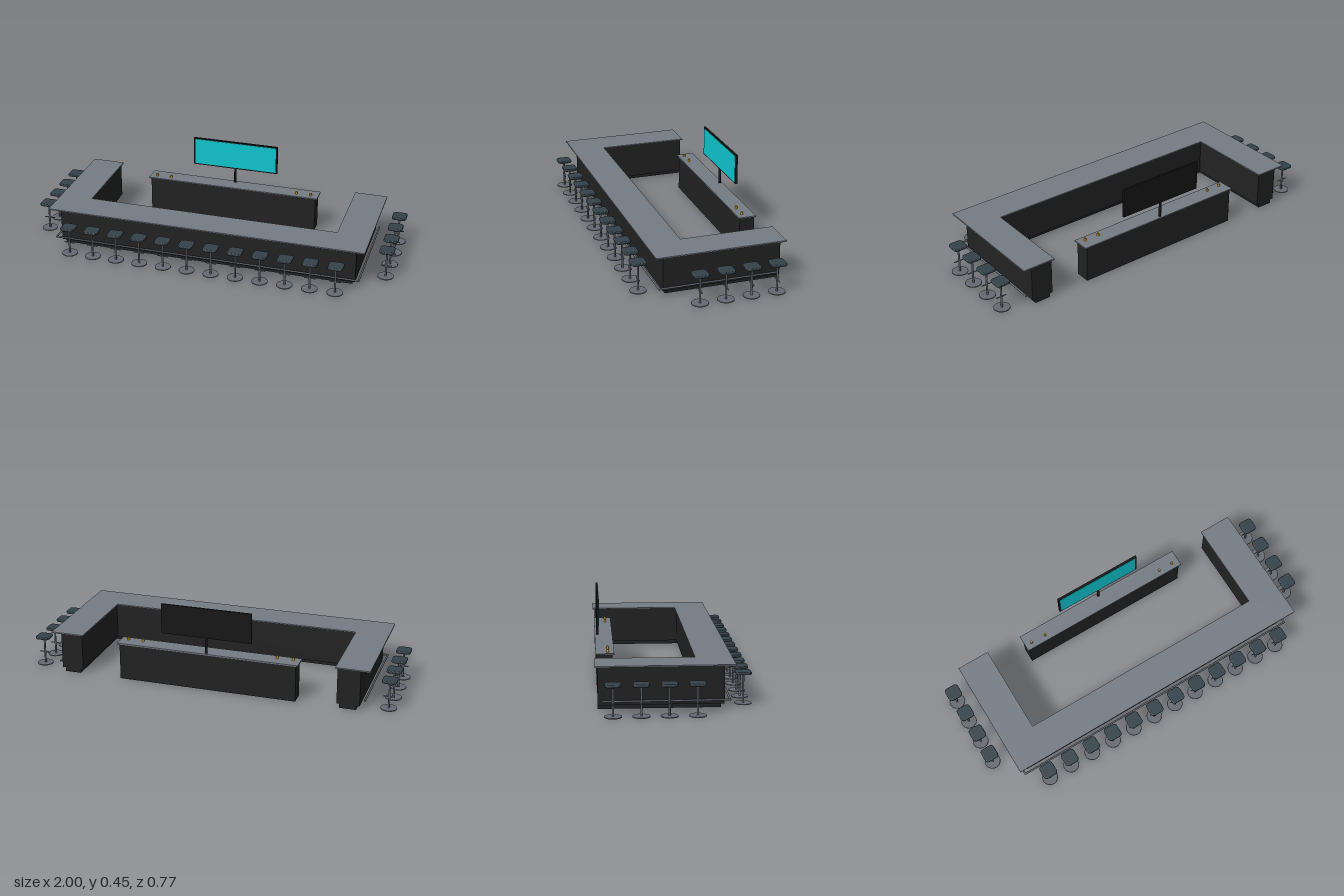
import * as THREE from 'three';

const mat = (name, color, side = THREE.FrontSide) => {
  const m = new THREE.MeshStandardMaterial({ color, side });
  m.name = name;
  return m;
};

export function createModel() {
  const stone = mat('grey stone', 0x757c84);
  const dark = mat('dark panel', 0x222222);
  const black = mat('black plastic', 0x161616);
  const metal = mat('steel', 0x656a72);
  const leather = mat('slate leather', 0x34424a);
  const gold = mat('gold', 0xc9960c);
  const cyan = mat('screen cyan', 0x0fc6d0);

  const model = new THREE.Group();
  model.name = 'barArea';

  const add = (parent, name, geo, material, x = 0, y = 0, z = 0) => {
    const mesh = new THREE.Mesh(geo, material);
    mesh.name = name;
    mesh.position.set(x, y, z);
    parent.add(mesh);
    return mesh;
  };
  // Box given by its limits on each axis
  const box = (parent, name, material, x0, x1, y0, y1, z0, z1) =>
    add(parent, name, new THREE.BoxGeometry(x1 - x0, y1 - y0, z1 - z0), material,
      (x0 + x1) / 2, (y0 + y1) / 2, (z0 + z1) / 2);

  // U-shaped slab, open towards the back
  const slabU = (name, material, xOut, xIn, zFront, zIn, zBack, y0, y1) => {
    const pts = [[-xOut, zFront], [xOut, zFront], [xOut, zBack], [xIn, zBack],
      [xIn, zIn], [-xIn, zIn], [-xIn, zBack], [-xOut, zBack]];
    const shape = new THREE.Shape(pts.map(([x, z]) => new THREE.Vector2(x, -z)));
    const geo = new THREE.ExtrudeGeometry(shape, { depth: y1 - y0, bevelEnabled: false });
    geo.rotateX(-Math.PI / 2);
    add(model, name, geo, material, 0, y0, 0);
  };

  // Main counter
  slabU('counterPlinth', dark, 0.803, 0.715, 0.226, 0.135, -0.373, 0, 0.022);
  slabU('counterBody', dark, 0.82, 0.7, 0.242, 0.12, -0.373, 0.022, 0.219);
  slabU('counterTop', stone, 0.87, 0.69, 0.292, 0.108, -0.385, 0.219, 0.226);
  box(model, 'goldStrip', gold, -0.803, 0.803, 0.196, 0.206, 0.241, 0.246);

  // Foot rail wrapping the outside of the counter
  const rail = new THREE.CurvePath();
  const corners = [[-0.842, -0.352], [-0.842, 0.267], [0.842, 0.267], [0.842, -0.352]]
    .map(([x, z]) => new THREE.Vector3(x, 0.046, z));
  for (let i = 0; i < 3; i++) {
    const a = corners[i], b = corners[i + 1];
    const bar = add(model, 'footRail', new THREE.CylinderGeometry(0.005, 0.005, a.distanceTo(b), 12), metal);
    bar.position.copy(a).lerp(b, 0.5);
    bar.quaternion.setFromUnitVectors(new THREE.Vector3(0, 1, 0), b.clone().sub(a).normalize());
  }
  for (const c of corners.slice(1, 3)) {
    add(model, 'railElbow', new THREE.SphereGeometry(0.005, 12, 8), metal, c.x, c.y, c.z);
  }

  // Back bar with taps
  box(model, 'backBarBody', dark, -0.483, 0.483, 0, 0.198, -0.372, -0.292);
  box(model, 'backBarTop', stone, -0.494, 0.494, 0.198, 0.205, -0.378, -0.283);
  for (const x of [-0.455, -0.37, 0.37, 0.452]) {
    add(model, 'tap', new THREE.CylinderGeometry(0.006, 0.007, 0.014, 12), gold, x, 0.212, -0.315);
  }

  // Television on a post
  const tv = new THREE.Group();
  tv.name = 'television';
  model.add(tv);
  add(tv, 'tvPost', new THREE.CylinderGeometry(0.007, 0.007, 0.095, 12), black, 0, 0.25, -0.363);
  box(tv, 'tvCase', black, -0.245, 0.245, 0.29, 0.453, -0.369, -0.358);
  box(tv, 'tvScreen', cyan, -0.236, 0.236, 0.297, 0.446, -0.358, -0.356);

  // Rounded-square cushion with a softened rim
  const h = 0.034, r = 0.014;
  const seatShape = new THREE.Shape();
  seatShape.moveTo(-h + r, -h);
  seatShape.lineTo(h - r, -h);
  seatShape.quadraticCurveTo(h, -h, h, -h + r);
  seatShape.lineTo(h, h - r);
  seatShape.quadraticCurveTo(h, h, h - r, h);
  seatShape.lineTo(-h + r, h);
  seatShape.quadraticCurveTo(-h, h, -h, h - r);
  seatShape.lineTo(-h, -h + r);
  seatShape.quadraticCurveTo(-h, -h, -h + r, -h);
  const seatGeo = new THREE.ExtrudeGeometry(seatShape, {
    depth: 0.006, bevelThickness: 0.004, bevelSize: 0.005, bevelSegments: 3, curveSegments: 4,
  });
  seatGeo.rotateX(-Math.PI / 2);
  const panGeo = new THREE.CylinderGeometry(0.03, 0.022, 0.005, 20);
  const poleGeo = new THREE.CylinderGeometry(0.0052, 0.0052, 0.146, 12);
  const collarGeo = new THREE.CylinderGeometry(0.0065, 0.0065, 0.01, 12);
  const restGeo = new THREE.CylinderGeometry(0.0032, 0.0032, 0.058, 10);
  restGeo.rotateZ(Math.PI / 2);
  const baseGeo = new THREE.CylinderGeometry(0.042, 0.043, 0.004, 28);

  const stool = (x, z) => {
    const g = new THREE.Group();
    g.name = 'stool';
    g.position.set(x, 0, z);
    add(g, 'stoolBase', baseGeo, metal, 0, 0.002, 0);
    add(g, 'stoolPole', poleGeo, metal, 0, 0.075, 0);
    add(g, 'stoolCollar', collarGeo, metal, 0, 0.066, 0);
    add(g, 'stoolFootrest', restGeo, metal, 0, 0.066, 0);
    add(g, 'seatPan', panGeo, leather, 0, 0.148, 0);
    add(g, 'seat', seatGeo, leather, 0, 0.153, 0);
    model.add(g);
  };

  // Twelve stools along the front, four on each side
  const step = 0.1336;
  for (let i = 0; i < 12; i++) stool((i - 5.5) * step, 0.342);
  for (let i = 0; i < 4; i++) {
    for (const s of [-1, 1]) stool(s * 0.957, 0.099 - i * step);
  }
  return model;
}
